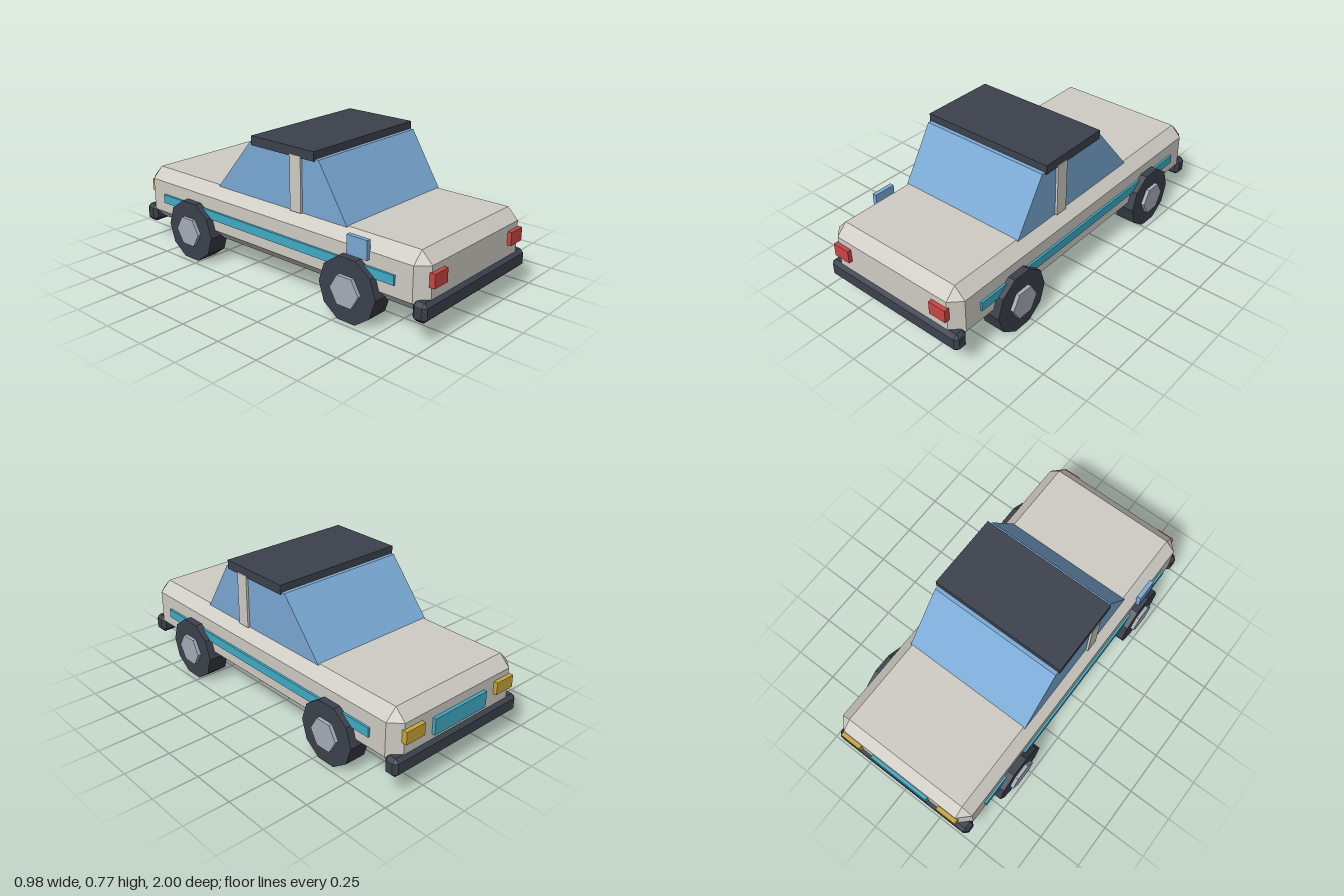
import * as THREE from 'three';
import { ConvexGeometry } from 'three/addons/geometries/ConvexGeometry.js';

function paint(name, color) {
  const m = new THREE.MeshStandardMaterial({ color });
  m.name = name;
  return m;
}

// Box with every edge cut at 45 degrees
function chamferBox(w, h, d, c) {
  const points = [];
  const [x, y, z] = [w / 2, h / 2, d / 2];
  for (const i of [-1, 1]) for (const j of [-1, 1]) for (const k of [-1, 1]) {
    points.push(
      new THREE.Vector3(i * x, j * (y - c), k * (z - c)),
      new THREE.Vector3(i * (x - c), j * y, k * (z - c)),
      new THREE.Vector3(i * (x - c), j * (y - c), k * z));
  }
  return new ConvexGeometry(points);
}

export function createModel() {
  const car = new THREE.Group();
  car.name = 'car';

  const cream = paint('cream', 0xcfccc4);
  const charcoal = paint('charcoal', 0x3c414c);
  const glass = paint('glass blue', 0x7aa9d4);
  const teal = paint('teal', 0x40abc5);
  const red = paint('red', 0xcb4545);
  const amber = paint('amber', 0xc9a63a);
  const silver = paint('silver', 0xa5adb7);
  for (const m of [cream, charcoal, glass, teal, red, amber, silver]) m.flatShading = false;

  function add(name, geometry, material, x, y, z) {
    const mesh = new THREE.Mesh(geometry, material);
    mesh.name = name;
    mesh.position.set(x, y, z);
    car.add(mesh);
    return mesh;
  }
  // Box given by its minimum and maximum on each axis
  function block(name, material, [x0, x1], [y0, y1], [z0, z1]) {
    return add(name, new THREE.BoxGeometry(x1 - x0, y1 - y0, z1 - z0), material,
      (x0 + x1) / 2, (y0 + y1) / 2, (z0 + z1) / 2);
  }

  // Body shell and bumpers
  add('body', chamferBox(0.86, 0.305, 1.956, 0.06), cream, 0, 0.2925, 0);
  const bumper = chamferBox(0.88, 0.1, 0.08, 0.02);
  add('frontBumper', bumper, charcoal, 0, 0.168, 0.956);
  add('rearBumper', bumper, charcoal, 0, 0.168, -0.956);

  // Glass cabin: side profile extruded across the car
  const profile = new THREE.Shape([
    new THREE.Vector2(-0.492, 0.44), new THREE.Vector2(0.411, 0.44),
    new THREE.Vector2(0.163, 0.734), new THREE.Vector2(-0.31, 0.734)]);
  const cabin = new THREE.ExtrudeGeometry(profile, { depth: 0.76, bevelEnabled: false });
  cabin.translate(0, 0, -0.38).rotateY(Math.PI / 2);
  add('cabinGlass', cabin, glass, 0, 0, 0);
  block('roof', charcoal, [-0.389, 0.389], [0.724, 0.774], [-0.142, 0.288]);

  // Single wing mirror
  block('mirror', glass, [-0.45, -0.425], [0.343, 0.443], [0.547, 0.67]);

  // Grille plate on the rear end
  block('grille', teal, [-0.183, 0.183], [0.245, 0.335], [-0.996, -0.97]);

  const tyre = new THREE.CylinderGeometry(0.174, 0.174, 0.12, 10).toNonIndexed();
  const hub = new THREE.CylinderGeometry(0.088, 0.088, 0.14, 6).toNonIndexed();
  for (const g of [tyre, hub]) {
    g.rotateZ(Math.PI / 2);
    g.computeVertexNormals();
  }

  // Parts mirrored left and right
  for (const s of [-1, 1]) {
    const side = s > 0 ? 'left' : 'right';
    const span = (a, b) => (s > 0 ? [a, b] : [-b, -a]);
    block(side + 'Pillar', cream, span(0.36, 0.393), [0.44, 0.734], [0.13, 0.203]);
    block(side + 'Stripe', teal, span(0.42, 0.442), [0.262, 0.312], [-0.82, 0.82]);
    block(side + 'RedLight', red, span(0.277, 0.379), [0.28, 0.352], [0.97, 1]);
    block(side + 'AmberLight', amber, span(0.257, 0.379), [0.284, 0.352], [-1, -0.97]);
    for (const z of [0.566, -0.566]) {
      const end = z > 0 ? 'Front' : 'Rear';
      add(side + end + 'Tyre', tyre, charcoal, s * 0.41, 0.166, z);
      add(side + end + 'Hub', hub, silver, s * 0.42, 0.166, z);
    }
  }
  return car;
}
